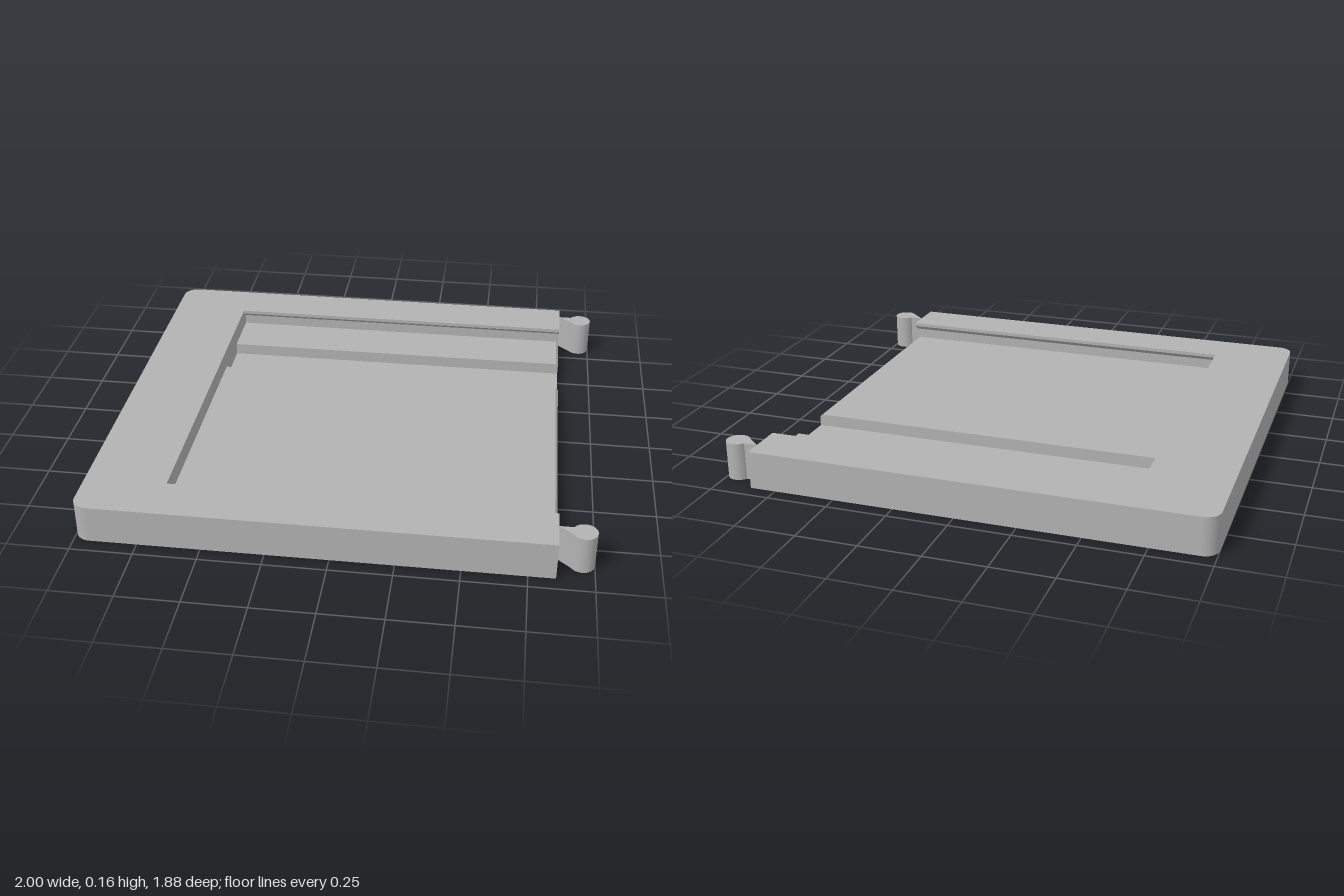
import * as THREE from 'three';
import { toCreasedNormals } from 'three/addons/utils/BufferGeometryUtils.js';

const H = 0.155;        // tray height
const HALF = 0.94;      // half width in z
const BACK = -1, WALL = -0.67, END = 0.855; // x: closed end, recess wall, open end
const LIP = 0.01;       // bevel at the open end of the floor
const FLOOR = 0.075, CHANNEL = 0.025;

export function createModel() {
  const model = new THREE.Group();
  model.name = 'slidingTray';
  const grey = new THREE.MeshStandardMaterial({ color: 0xb2b2b2 });
  grey.name = 'grey';

  const add = (name, geometry) => {
    const mesh = new THREE.Mesh(geometry, grey);
    mesh.name = name;
    model.add(mesh);
    return mesh;
  };

  // Plan outline (x, -z) raised to the full height
  const raise = (shape) => {
    const g = new THREE.ExtrudeGeometry(shape, { depth: H, bevelEnabled: false, curveSegments: 24 });
    g.rotateX(-Math.PI / 2);
    return toCreasedNormals(g, 0.5);
  };

  // Cross-section (-z, y) with undercut rails and a stepped floor
  const section = new THREE.Shape([
    [-HALF, 0], [HALF, 0], [HALF, H],
    [0.74, H], [0.74, 0.14], [0.768, 0.118], [0.768, FLOOR],
    [0.547, FLOOR], [0.547, CHANNEL], [0.328, CHANNEL], [0.328, FLOOR],
    [-0.768, FLOOR], [-0.768, 0.118], [-0.74, 0.14], [-0.74, H], [-HALF, H],
  ].map(([a, b]) => new THREE.Vector2(a, b)));
  const sweep = (x0, x1) => {
    const g = new THREE.ExtrudeGeometry(section, { depth: x1 - x0, bevelEnabled: false });
    g.rotateY(Math.PI / 2);
    g.translate(x0, 0, 0);
    return g;
  };
  add('railedTray', sweep(WALL, END - LIP));

  // Floor lip, bevelled down at the open end
  const lip = sweep(END - LIP, END);
  const p = lip.attributes.position;
  for (let i = 0; i < p.count; i++) {
    if (p.getX(i) > END - LIP / 2 && Math.abs(p.getY(i) - FLOOR) < 1e-4) p.setY(i, FLOOR - 0.01);
  }
  lip.computeVertexNormals();
  add('floorLip', lip);

  // Closed end with rounded outer corners
  const r = 0.06;
  const end = new THREE.Shape();
  end.moveTo(WALL, -HALF);
  end.lineTo(WALL, HALF);
  end.lineTo(BACK + r, HALF);
  end.absarc(BACK + r, HALF - r, r, Math.PI / 2, Math.PI, false);
  end.lineTo(BACK, -HALF + r);
  end.absarc(BACK + r, -HALF + r, r, Math.PI, Math.PI * 1.5, false);
  add('closedEnd', raise(end));

  // Round-headed connector tabs
  const radius = 0.048, neck = 0.025;
  const a = Math.PI - Math.asin(neck / radius);
  const tab = new THREE.Shape();
  tab.moveTo(END, -neck);
  tab.absarc(1 - radius, 0, radius, -a, a, false);
  tab.lineTo(END, neck);
  const tabGeometry = raise(tab);
  for (const side of [-1, 1]) {
    add(side > 0 ? 'frontConnector' : 'backConnector', tabGeometry).position.z = side * 0.845;
  }
  return model;
}
